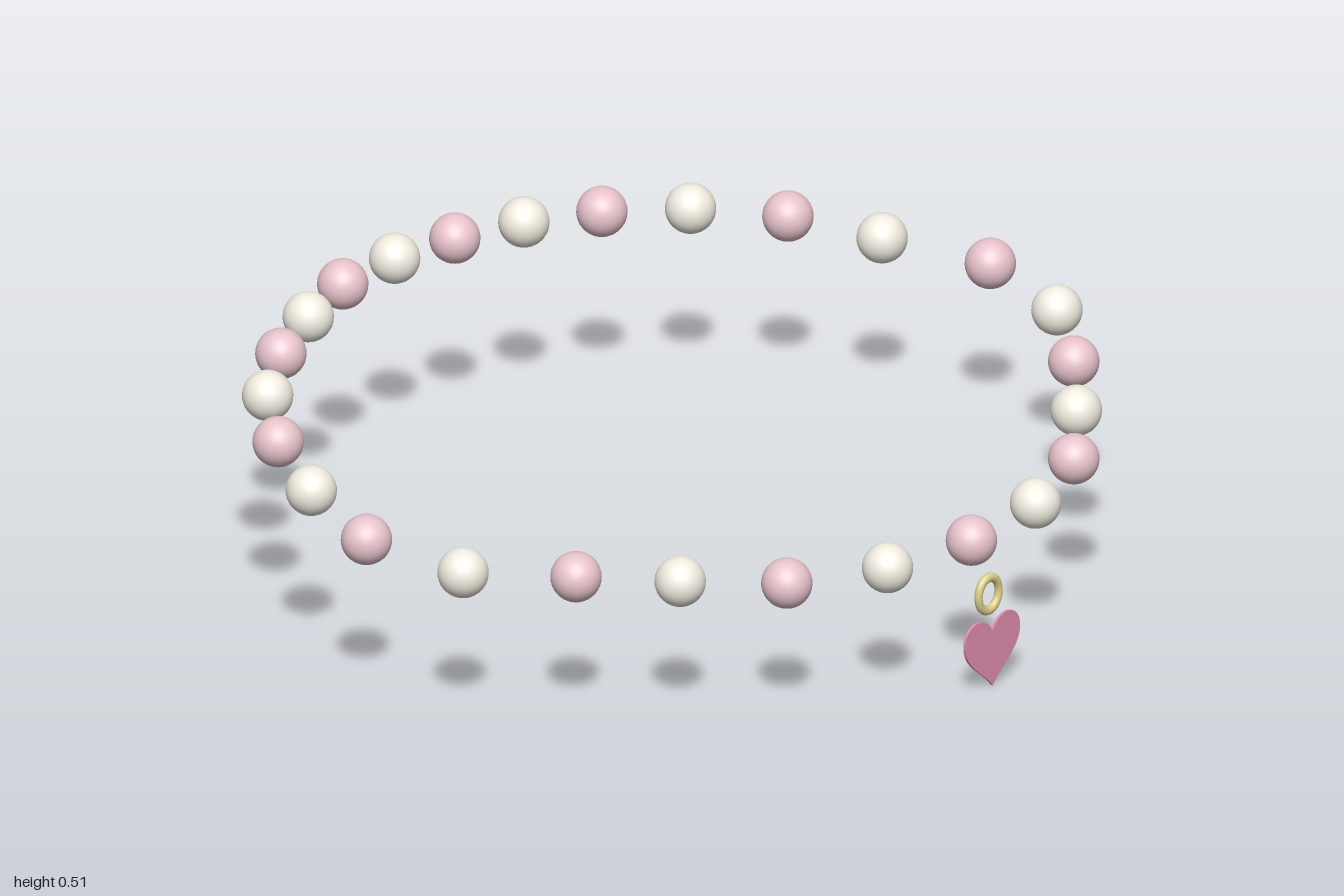
import * as THREE from 'three';

const paint = (color) => new THREE.MeshStandardMaterial({ color });

export function createModel() {
  const model = new THREE.Group();
  const add = (name, geometry, material, x, y, z) => {
    const mesh = new THREE.Mesh(geometry, material);
    mesh.name = name;
    mesh.position.set(x, y, z);
    model.add(mesh);
    return mesh;
  };

  // Beads: hand-strung [x, z] spots, anticlockwise from the front centre
  const spots = [
    [0, 0.8], [0.224, 0.773], [0.432, 0.688], [0.598, 0.542], [0.757, 0.388],
    [0.9, 0.209], [0.946, -0.02], [0.856, -0.24], [0.774, -0.428], [0.641, -0.578],
    [0.487, -0.684], [0.326, -0.754], [0.162, -0.796], [0, -0.815], [-0.166, -0.807],
    [-0.326, -0.756], [-0.487, -0.684], [-0.642, -0.578], [-0.773, -0.428], [-0.876, -0.24],
    [-0.947, -0.02], [-0.902, 0.209], [-0.738, 0.374], [-0.59, 0.529], [-0.43, 0.68],
    [-0.222, 0.77],
  ];
  const beadGeometry = new THREE.SphereGeometry(0.053, 32, 20);
  const pink = paint(0xe8c4cc);
  const pearl = paint(0xf0ece0);
  spots.forEach(([x, z], i) => {
    // The strand rises gently toward the back
    const y = 0.372 - 0.09 * z + 0.015 * z * z;
    add(i % 2 ? 'pearlBead' : 'pinkBead', beadGeometry, i % 2 ? pearl : pink, x, y, z);
  });

  // Oval link under the front bead
  const link = add('pendantLink', new THREE.TorusGeometry(0.032, 0.009, 12, 40), paint(0xdccf8c), 0, 0.203, 0.848);
  link.scale.set(0.95, 1.14, 1);

  // Thin heart charm, tip at y = 0
  const heart = new THREE.Shape();
  heart.moveTo(0, 0);
  heart.bezierCurveTo(0.02, 0.032, 0.083, 0.06, 0.083, 0.109);
  heart.bezierCurveTo(0.083, 0.164, 0.018, 0.168, 0, 0.122);
  heart.bezierCurveTo(-0.018, 0.168, -0.083, 0.164, -0.083, 0.109);
  heart.bezierCurveTo(-0.083, 0.06, -0.02, 0.032, 0, 0);
  const heartGeometry = new THREE.ExtrudeGeometry(heart, { depth: 0.006, bevelEnabled: false, curveSegments: 20 });
  add('heartCharm', heartGeometry, paint(0xe08cb0), 0, 0, 0.854);

  return model;
}
